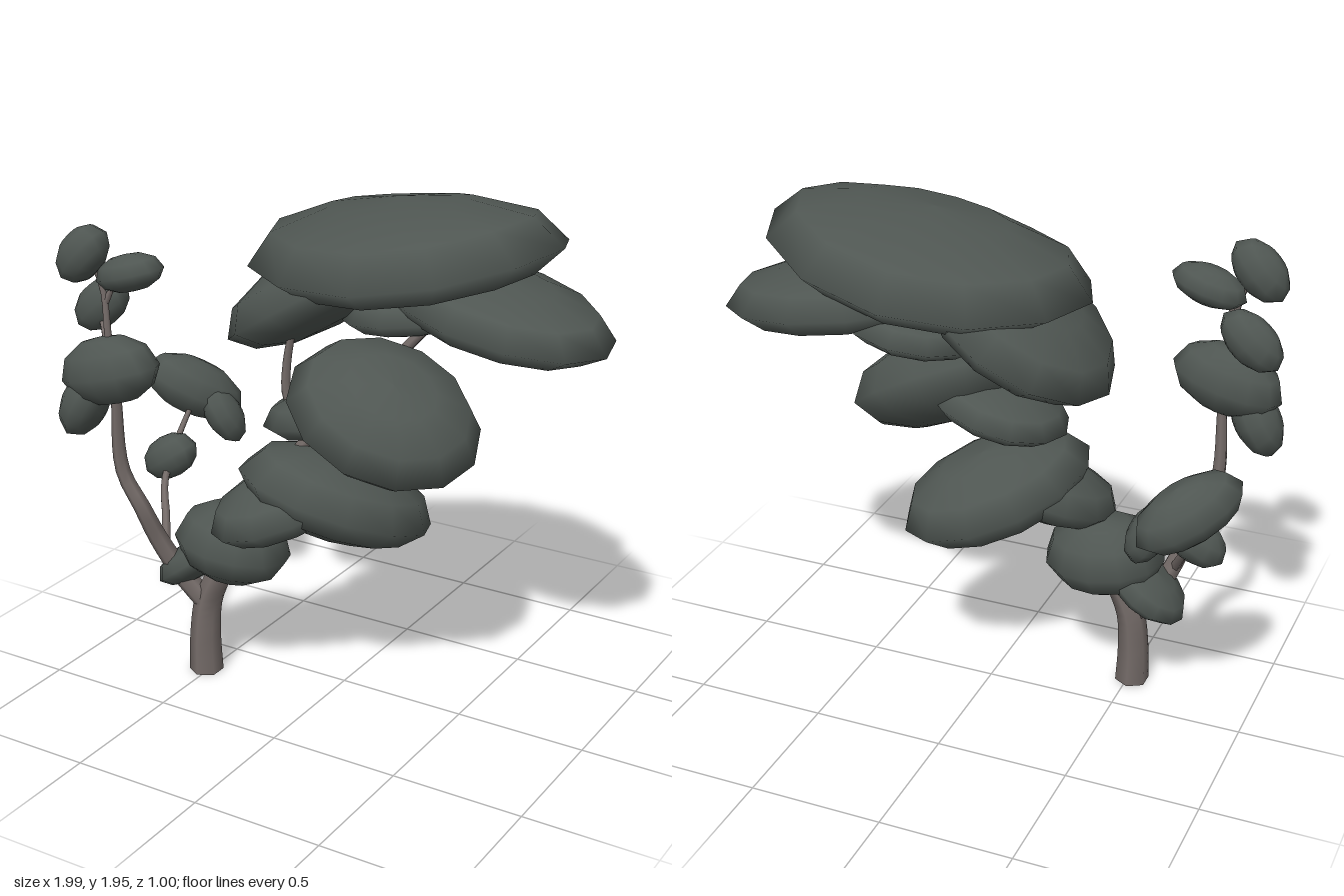
import * as THREE from 'three';

const bark = new THREE.MeshStandardMaterial({ color: 0x756c69 });
bark.name = 'bark';
const foliage = new THREE.MeshStandardMaterial({ color: 0x4f5652 });
foliage.name = 'foliage';

// Half outline of a leaf clump, from underside to crown
const PROFILE = [[0, -0.97], [0.45, -0.88], [0.8, -0.58], [1, -0.06], [0.83, 0.56], [0.45, 0.91], [0, 1]]
  .map(([r, y]) => new THREE.Vector2(r, y));

// Flattened low-poly clump; sag bends its front and back rim downwards
function clump(name, center, radii, tiltX = 0, tiltZ = 0, yaw = 0, sag = 0) {
  const geo = new THREE.LatheGeometry(PROFILE, 12);
  if (sag) {
    const p = geo.attributes.position;
    for (let i = 0; i < p.count; i++) p.setY(i, p.getY(i) - sag * p.getZ(i) ** 2);
  }
  const mesh = new THREE.Mesh(geo, foliage);
  mesh.name = name;
  mesh.position.set(...center);
  mesh.scale.set(...radii);
  const rad = THREE.MathUtils.degToRad;
  mesh.rotation.set(rad(tiltX), rad(yaw), rad(tiltZ), 'YXZ');
  return mesh;
}

// Six-sided branch tapering along a smooth path
function branch(name, points, r0, r1) {
  const curve = new THREE.CatmullRomCurve3(points.map((p) => new THREE.Vector3(...p)));
  const rings = points.length * 3;
  const sides = 6;
  const geo = new THREE.TubeGeometry(curve, rings, 1, sides);
  const pos = geo.attributes.position;
  const v = new THREE.Vector3();
  for (let i = 0; i <= rings; i++) {
    const c = curve.getPointAt(i / rings);
    const r = THREE.MathUtils.lerp(r0, r1, i / rings);
    for (let j = 0; j <= sides; j++) {
      const k = i * (sides + 1) + j;
      v.fromBufferAttribute(pos, k).sub(c).multiplyScalar(r).add(c);
      pos.setXYZ(k, v.x, v.y, v.z);
    }
  }
  const mesh = new THREE.Mesh(geo, bark);
  mesh.name = name;
  return mesh;
}

export function createModel() {
  const tree = new THREE.Group();
  tree.name = 'tree';

  // Trunk and branches
  const wood = new THREE.Group();
  wood.name = 'wood';
  wood.add(
    branch('trunk', [[-0.515, 0, 0.19], [-0.515, 0.15, 0.19], [-0.5, 0.3, 0.185], [-0.45, 0.42, 0.18], [-0.39, 0.55, 0.16]], 0.066, 0.042),
    branch('mainBranch', [[-0.41, 0.52, 0.16], [-0.25, 0.72, 0.14], [-0.11, 1.0, 0.1], [0.04, 1.12, 0.03], [0.2, 1.36, -0.08], [0.36, 1.54, -0.13]], 0.036, 0.018),
    branch('upperBranch', [[-0.1, 1.02, 0.1], [-0.17, 1.18, 0.12], [-0.17, 1.3, 0.12], [-0.14, 1.46, 0.12]], 0.02, 0.013),
    branch('sideBranch', [[-0.51, 0.3, 0.19], [-0.59, 0.4, 0.22], [-0.66, 0.55, 0.27], [-0.7, 0.7, 0.32], [-0.765, 0.84, 0.34], [-0.765, 1.15, 0.36]], 0.045, 0.019),
    branch('sideTip', [[-0.765, 1.12, 0.36], [-0.78, 1.38, 0.37], [-0.8, 1.54, 0.36], [-0.84, 1.66, 0.37]], 0.018, 0.009),
    branch('lowTwig', [[-0.64, 0.48, 0.26], [-0.7, 0.6, 0.17], [-0.76, 0.7, 0.09], [-0.78, 0.8, 0.0], [-0.79, 0.98, -0.18]], 0.02, 0.01),
    branch('tipTwigLeft', [[-0.79, 1.34, 0.37], [-0.83, 1.38, 0.33], [-0.89, 1.45, 0.28]], 0.012, 0.008),
    branch('tipTwigRight', [[-0.79, 1.5, 0.36], [-0.76, 1.56, 0.35], [-0.69, 1.61, 0.33]], 0.012, 0.008),
  );
  const base = new THREE.Mesh(new THREE.CircleGeometry(0.062, 6), bark);
  base.name = 'trunkBase';
  base.rotation.x = Math.PI / 2;
  base.position.set(-0.515, 0.001, 0.19);
  wood.add(base);

  // Large crown, from top to bottom: broad clumps with a drooping wing each
  const crown = new THREE.Group();
  crown.name = 'mainCrown';
  crown.add(
    clump('topClump', [0.2, 1.75, -0.075], [0.615, 0.175, 0.42], 0, 8, 0, 0.4),
    clump('topWing', [-0.14, 1.54, -0.07], [0.4, 0.15, 0.37], 0, 32),
    clump('upperClump', [0.545, 1.56, -0.12], [0.455, 0.125, 0.32], 0, -10, -8),
    clump('upperWing', [0.22, 1.51, -0.13], [0.28, 0.085, 0.27], 0, 8),
    clump('middleClump', [0.23, 1.185, 0.11], [0.365, 0.17, 0.305], 24, -25),
    clump('middleWing', [0.0, 1.145, 0.07], [0.28, 0.095, 0.24], 0, 16),
    clump('lowerClump', [0.0, 0.805, 0.055], [0.38, 0.16, 0.275], 0, -20, 38),
    clump('lowerWing', [-0.16, 0.785, 0.16], [0.3, 0.12, 0.24], 0, 22, 38),
    clump('bottomClump', [-0.4, 0.555, 0.155], [0.235, 0.155, 0.19], -6, -6),
    clump('bottomWing', [-0.57, 0.45, 0.155], [0.185, 0.075, 0.155], 0, 37),
  );

  // Small crown on the side branch
  const side = new THREE.Group();
  side.name = 'sideCrown';
  side.add(
    clump('sideTopClump', [-0.865, 1.675, 0.385], [0.135, 0.085, 0.08], 0, 48),
    clump('sideTopRightClump', [-0.7, 1.615, 0.33], [0.145, 0.07, 0.09], 0, 16),
    clump('sideTopLeftClump', [-0.88, 1.455, 0.27], [0.14, 0.085, 0.075], 0, 42),
    clump('sideMiddleClump', [-0.775, 1.245, 0.375], [0.215, 0.13, 0.125], 0, 15),
    clump('sideMiddleWing', [-0.89, 1.1, 0.385], [0.15, 0.085, 0.1], 0, 62),
    clump('sideBackClump', [-0.82, 0.995, -0.205], [0.215, 0.11, 0.125], 0, -28, 38),
    clump('sideBackWing', [-0.69, 0.9, -0.22], [0.13, 0.07, 0.09], 0, -60, 25),
    clump('sideLowClump', [-0.79, 0.775, 0.005], [0.13, 0.085, 0.08], 0, 35),
  );

  tree.add(wood, crown, side);
  return tree;
}
